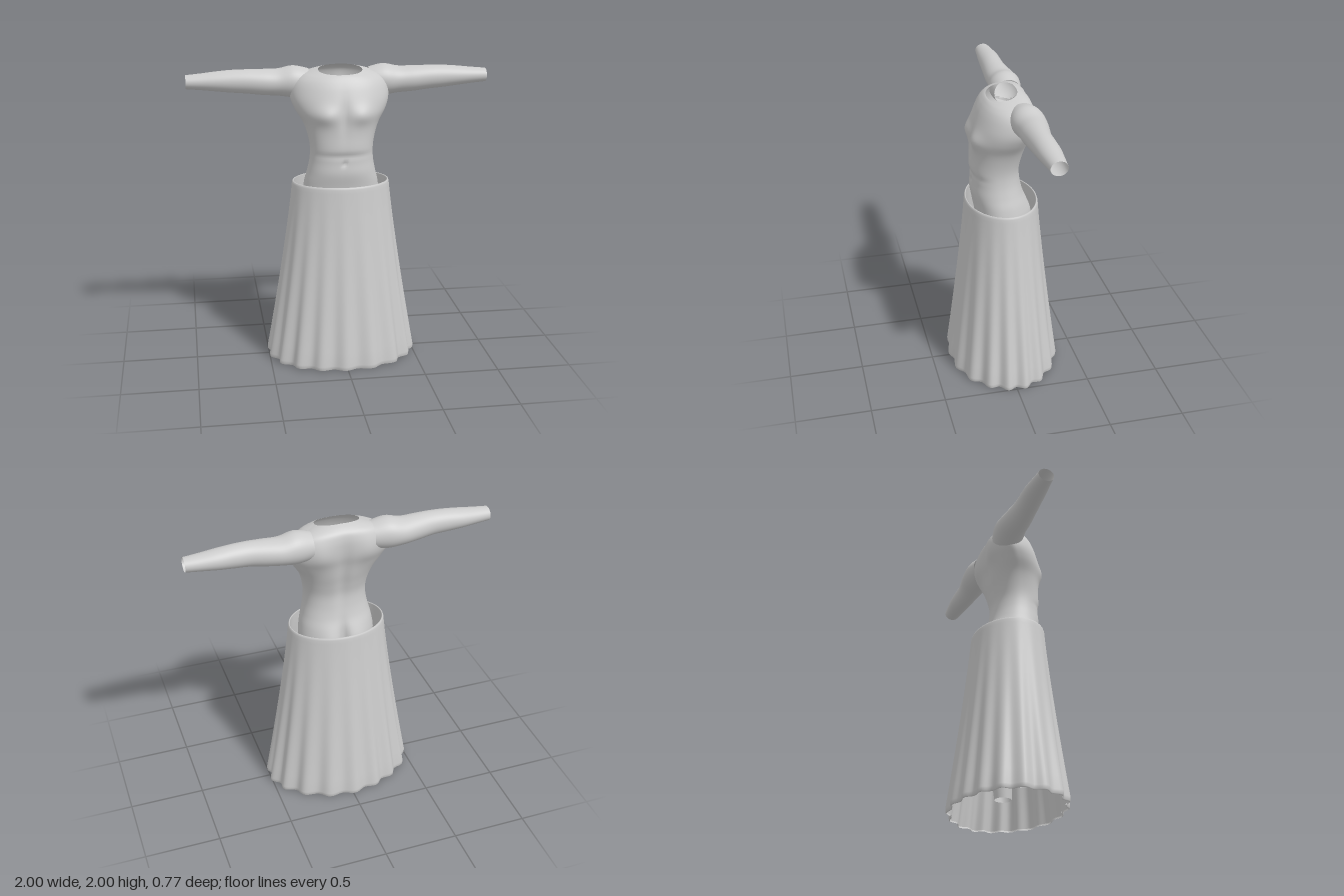
import * as THREE from 'three';

const grey = new THREE.MeshStandardMaterial({ color: 0xcccccc, side: THREE.DoubleSide });
grey.name = 'plain grey';

// Smooth interpolation through the rows of a section table, u from 0 to 1
function sample(table, u) {
  const s = u * (table.length - 1);
  const i = Math.min(Math.floor(s), table.length - 2);
  const f = s - i;
  const row = k => table[Math.max(0, Math.min(table.length - 1, k))];
  return table[i].map((b, k) => {
    const a = row(i - 1)[k], c = row(i + 1)[k], d = row(i + 2)[k];
    return b + 0.5 * f * (c - a + f * (2 * a - 5 * b + 4 * c - d + f * (3 * (b - c) + d - a)));
  });
}

// Closed-ring loft: point(u, angle) gives [x, y, z]; skip() can leave openings
function loft(name, rows, cols, point, skip = () => false) {
  const pos = [], index = [];
  for (let i = 0; i <= rows; i++)
    for (let j = 0; j < cols; j++) pos.push(...point(i / rows, (j / cols) * Math.PI * 2));
  for (let i = 0; i < rows; i++)
    for (let j = 0; j < cols; j++) {
      const a = i * cols + j, b = i * cols + (j + 1) % cols, c = a + cols, d = b + cols;
      const mid = [0, 1, 2].map(k => (pos[a * 3 + k] + pos[d * 3 + k]) / 2);
      if (!skip(mid)) index.push(a, c, b, b, c, d);
    }
  const geo = new THREE.BufferGeometry();
  geo.setAttribute('position', new THREE.Float32BufferAttribute(pos, 3));
  geo.setIndex(index);
  geo.computeVertexNormals();
  const mesh = new THREE.Mesh(geo, grey);
  mesh.name = name;
  return mesh;
}

const bump = (x, y, cx, cy, sx, sy) =>
  Math.exp(-(((x - cx) / sx) ** 2) - ((y - cy) / sy) ** 2);
const power = (v, p) => Math.sign(v) * Math.abs(v) ** p;

// Torso rows: y, half width, front z, back z, z of widest point, tilt towards the front
const TORSO = [
  [1.04, 0.23, 0.13, -0.14, 0.0, 0],
  [1.14, 0.255, 0.17, -0.16, 0.01, 0],
  [1.24, 0.245, 0.19, -0.15, 0.02, 0],
  [1.32, 0.225, 0.204, -0.13, 0.03, 0],
  [1.40, 0.21, 0.2, -0.115, 0.04, 0],
  [1.48, 0.208, 0.207, -0.11, 0.04, 0],
  [1.56, 0.222, 0.203, -0.125, 0.03, 0],
  [1.64, 0.25, 0.2, -0.145, 0.01, 0],
  [1.72, 0.298, 0.193, -0.16, -0.02, 0],
  [1.79, 0.325, 0.18, -0.175, -0.06, 0],
  [1.86, 0.325, 0.155, -0.18, -0.09, 0],
  [1.91, 0.3, 0.132, -0.178, -0.09, 0.004],
  [1.945, 0.255, 0.113, -0.165, -0.08, 0.012],
  [1.965, 0.195, 0.1, -0.135, -0.05, 0.018],
  [1.975, 0.145, 0.09, -0.1, -0.01, 0.022]
];

// Arm rows: x, centre y, half height, centre z, half depth
const ARM = [
  [0.2, 1.885, 0.088, -0.095, 0.09],
  [0.3, 1.889, 0.104, -0.1, 0.106],
  [0.4, 1.885, 0.089, -0.107, 0.099],
  [0.5, 1.889, 0.085, -0.1, 0.09],
  [0.6, 1.896, 0.079, -0.095, 0.079],
  [0.7, 1.899, 0.074, -0.098, 0.075],
  [0.8, 1.9, 0.065, -0.102, 0.072],
  [0.9, 1.9, 0.054, -0.103, 0.063],
  [1.0, 1.9, 0.045, -0.103, 0.053]
];

// Leg rows from ankle to hip: y, centre x, half width, centre z, half depth
const LEG = [
  [0.13, 0.165, 0.056, 0.03, 0.058],
  [0.28, 0.16, 0.068, 0.02, 0.072],
  [0.44, 0.152, 0.088, 0.015, 0.092],
  [0.58, 0.147, 0.082, 0.02, 0.085],
  [0.75, 0.14, 0.098, 0.02, 0.108],
  [0.95, 0.13, 0.118, 0.01, 0.138],
  [1.1, 0.122, 0.122, 0.005, 0.148]
];

function torsoPoint(u, t) {
  const [y0, w, front, back, zc, tilt] = sample(TORSO, u);
  const c = Math.cos(t), s = Math.sin(t);
  const x = w * power(c, 0.88), ax = Math.abs(x);
  const y = y0 - tilt * s;
  let z = zc + power(s, 0.88) * (s > 0 ? front - zc : zc - back);
  const face = Math.min(1, Math.abs(s) * 1.6);
  if (s > 0) {
    // chest muscles, breastbone groove, waist crease and navel
    z += face * (0.03 * bump(ax, y, 0.12, 1.705, 0.085, 0.06)
      - 0.01 * bump(x, y, 0, 1.7, 0.03, 0.12)
      - 0.008 * bump(x, y, 0, 1.44, 0.2, 0.02)
      - 0.014 * bump(x, y, 0, 1.39, 0.013, 0.016));
  } else {
    // shoulder blades, spine groove and buttocks
    z -= face * (0.022 * bump(ax, y, 0.16, 1.82, 0.09, 0.1)
      - 0.018 * bump(x, y, 0, 1.65, 0.04, 0.24)
      + 0.03 * bump(ax, y, 0.1, 1.16, 0.09, 0.1)
      - 0.03 * bump(x, y, 0, 1.16, 0.025, 0.11));
  }
  return [x, y, z];
}

// True where the torso wall lies inside an arm, so the sleeve stays open
function insideArm([x, y, z]) {
  const ax = Math.abs(x);
  if (ax < 0.215) return false;
  const [, cy, ry, cz, rz] = sample(ARM, (ax - 0.2) / 0.8);
  return ((y - cy) / ry) ** 2 + ((z - cz) / rz) ** 2 < 0.72;
}

// Skirt profile: height and inset of the wall, up the outside and down the inside
const SKIRT = [];
SKIRT.push([0.0, 0.014], [0.004, 0.006], [0.03, 0]);
for (let i = 1; i <= 12; i++) SKIRT.push([0.03 + i * 0.0975, 0]);
SKIRT.push([1.225, 0], [1.237, 0.003], [1.24, 0.008], [1.235, 0.013]);
for (let i = 11; i >= 0; i--) SKIRT.push([0.01 + i * 0.1, 0.014]);

function skirtPoint(u, a) {
  const [y, inset] = SKIRT[Math.round(u * (SKIRT.length - 1))];
  const t = Math.max(0, 1 - y / 1.24) ** 1.15;
  const fold = 1 + t * (0.034 * -Math.cos(18 * a + 0.5 * Math.sin(3 * a)) + 0.008 * Math.cos(5 * a + 1));
  return [
    Math.cos(a) * ((0.325 + 0.177 * t) * fold - inset),
    y,
    Math.sin(a) * ((0.24 + 0.135 * t) * fold - inset)
  ];
}

export function createModel() {
  const model = new THREE.Group();
  model.name = 'dressForm';
  model.add(loft('torso', 84, 112, torsoPoint, insideArm));
  for (const side of [1, -1]) {
    const label = side > 0 ? 'left' : 'right';
    model.add(loft(label + 'Arm', 40, 40, (u, t) => {
      const [x, cy, ry, cz, rz] = sample(ARM, u);
      return [side * x, cy + ry * Math.cos(t), cz - side * rz * Math.sin(t)];
    }));
    model.add(loft(label + 'Leg', 30, 32, (u, t) => {
      const [y, cx, rx, cz, rz] = sample(LEG, u);
      return [side * cx + rx * Math.cos(t), y, cz + rz * Math.sin(t)];
    }));
  }
  model.add(loft('skirt', SKIRT.length - 1, 216, skirtPoint));
  return model;
}
